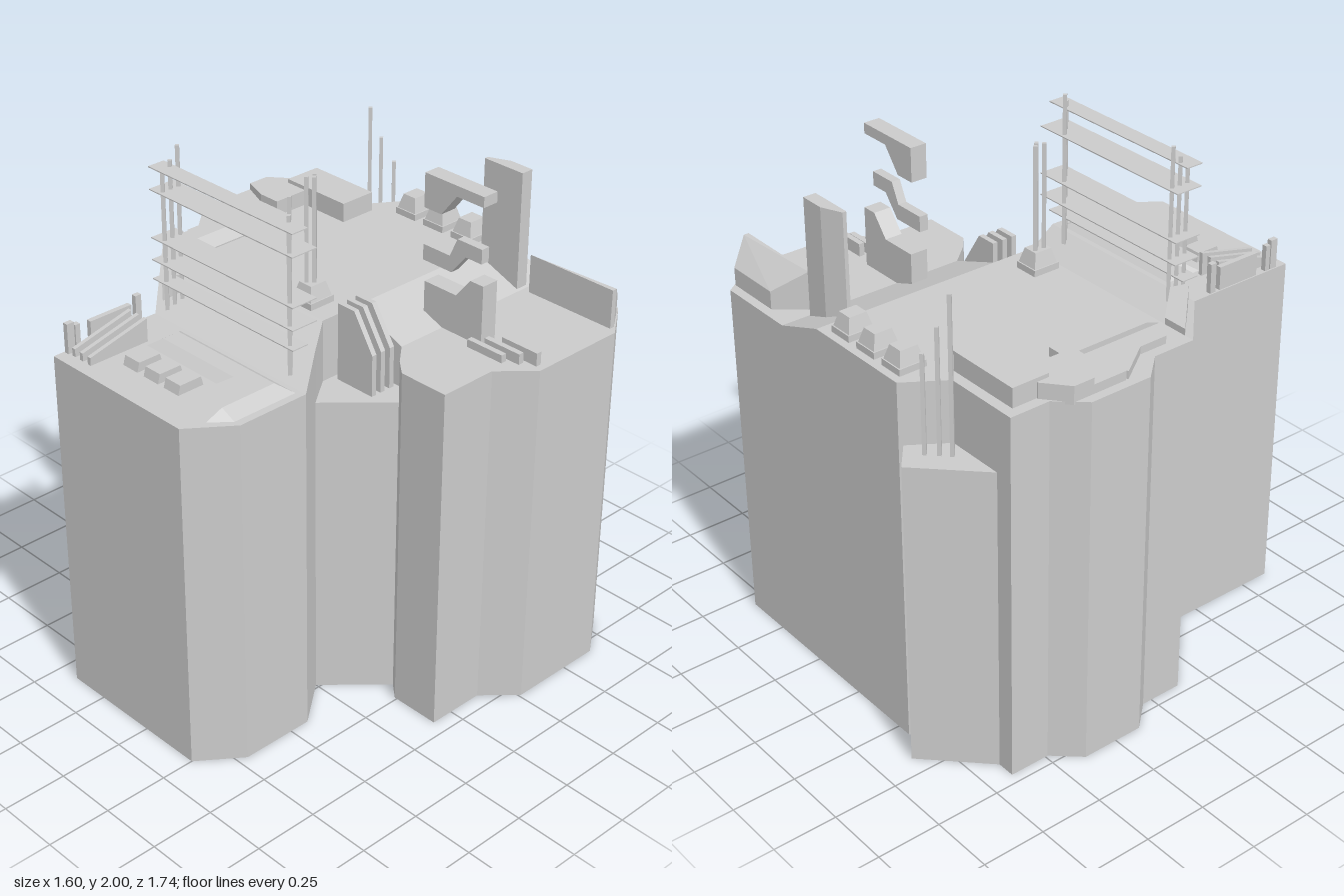
import * as THREE from 'three';
import { ConvexGeometry } from 'three/addons/geometries/ConvexGeometry.js';

const mat = new THREE.MeshStandardMaterial({ color: 0xcccccc, flatShading: true, side: THREE.DoubleSide });

export function createModel() {
  const root = new THREE.Group();
  const add = (name, geo) => {
    const m = new THREE.Mesh(geo, mat);
    m.name = name;
    root.add(m);
    return m;
  };
  const faces = (tris) => {
    const g = new THREE.BufferGeometry();
    g.setAttribute('position', new THREE.Float32BufferAttribute(tris.flat(), 3));
    g.computeVertexNormals();
    return g;
  };
  // Roof face from plan points [x, z, y], counter-clockwise seen from above
  const roof = (name, pts) => {
    const plan = pts.map(([x, z]) => new THREE.Vector2(x, -z));
    const idx = THREE.ShapeUtils.triangulateShape(plan, []).flat();
    add(name, faces(idx.map((i) => [pts[i][0], pts[i][2], pts[i][1]])));
  };
  // Vertical wall strip along points [x, z, top] down to y = base
  const walls = (name, pts, base, closed = true) => {
    const tris = [];
    for (let i = 0; i < pts.length - (closed ? 0 : 1); i++) {
      const [ax, az, ay] = pts[i], [bx, bz, by] = pts[(i + 1) % pts.length];
      const a0 = [ax, base, az], b0 = [bx, base, bz], a1 = [ax, ay, az], b1 = [bx, by, bz];
      tris.push(a0, b0, b1, a0, b1, a1);
    }
    add(name, faces(tris));
  };
  const box = (name, x0, x1, y0, y1, z0, z1) =>
    add(name, new THREE.BoxGeometry(x1 - x0, y1 - y0, z1 - z0)
      .translate((x0 + x1) / 2, (y0 + y1) / 2, (z0 + z1) / 2));
  const shape = (pts) => new THREE.Shape(pts.map(([a, b]) => new THREE.Vector2(a, b)));
  // Plan polygon [x, z] raised from y0 to y1
  const prism = (name, pts, y0, y1) =>
    add(name, new THREE.ExtrudeGeometry(shape(pts.map(([x, z]) => [x, -z])), { depth: y1 - y0, bevelEnabled: false })
      .rotateX(-Math.PI / 2).translate(0, y0, 0));
  // Front profile [x, y] extruded from z0 to z1
  const slab = (name, pts, z0, z1) =>
    add(name, new THREE.ExtrudeGeometry(shape(pts), { depth: z1 - z0, bevelEnabled: false }).translate(0, 0, z0));
  const hull = (name, pts) => add(name, new ConvexGeometry(pts.map((p) => new THREE.Vector3(...p))));
  // Tapered block: base rectangle and top rectangle as [x0, x1, z0, z1]
  const taper = (name, b, y0, t, y1) => {
    const ring = ([x0, x1, z0, z1], y) => [[x0, y, z0], [x1, y, z0], [x1, y, z1], [x0, y, z1]];
    return hull(name, [...ring(b, y0), ...ring(t, y1)]);
  };
  const post = (name, x, z, y0, y1, r = 0.01) =>
    add(name, new THREE.CylinderGeometry(r, r, y1 - y0, 4).translate(x, (y0 + y1) / 2, z));

  // Building shell, open below
  const H = 1.46, L = 1.38, S = 1.22;
  const frontEdge = [[-0.41, 0.87, L], [0.25, 0.87, L], [0.37, 0.71, L], [0.37, 0.42, L], [0.235, 0.25, 1.427]];
  const eastEdge = [[0.43, 0.04, L], [0.49, 0.09, L], [0.69, 0.09, L], [0.69, -0.14, L], [0.8, -0.26, L],
    [0.8, -0.65, L], [0.69, -0.8, L], [0.36, -0.8, L]];
  const westEdge = [[0.145, -0.8, H], [-0.31, -0.8, H], [-0.41, -0.65, H], [-0.71, -0.65, H], [-0.71, -0.49, H],
    [-0.8, -0.39, H], [-0.8, -0.14, H], [-0.71, -0.04, H], [-0.71, 0.13, H]];
  const west = [[-0.41, 0.42, L]];
  walls('outerWallFront', [...westEdge.slice(-1), ...west, ...frontEdge], 0, false);
  walls('outerWallBack', [...eastEdge, ...westEdge], 0, false);
  walls('ledgeOuterWall', [[0.235, 0.25, S], [0.43, 0.04, S]], 0, false);
  walls('ledgeInnerWall', [[0.235, 0.25, 1.427], [0.145, 0.13, H], [0.145, -0.04, H], [0.36, -0.04, L], [0.43, 0.04, L]], S, false);
  roof('ledgeFloor', [[0.145, 0.13, S], [0.235, 0.25, S], [0.43, 0.04, S], [0.36, -0.04, S], [0.145, -0.04, S]]);
  roof('frontRoof', [...frontEdge.slice(0, 4), ...west]);
  roof('frontSlope', [[-0.71, 0.13, H], ...west, [0.37, 0.42, L], [0.235, 0.25, 1.427], [0.145, 0.13, H]]);
  roof('mainRoof', [...westEdge, [0.145, 0.13, H]]);
  roof('sideSlope', [[0.145, -0.04, H], [0.36, -0.04, L], [0.36, -0.8, L], [0.145, -0.8, H]]);
  roof('eastRoof', [[0.36, -0.04, L], ...eastEdge]);

  // Rear corner tower with aerials
  const tower = [[-0.31, -0.78, S], [-0.42, -0.87, S], [-0.64, -0.65, S], [-0.41, -0.65, S]];
  walls('rearTowerWall', tower, 0);
  roof('rearTowerRoof', tower);
  [[-0.47, -0.7, 1.82], [-0.44, -0.73, 1.7], [-0.405, -0.765, 1.6]].forEach(([x, z, y]) => post('rearAerial', x, z, S, y));

  // Rack of flat planks on two rows of posts
  [[0.31, 2, 0.175], [0.345, 1.955, 0.21], [0.38, 1.93, 0.25]].forEach(([z, y, x]) => {
    post('rackPostLeft', x, z, L, y);
    post('rackPostRight', -0.39, z, L, y);
  });
  [[1.93, 0.33], [1.845, 0.29], [1.66, 0.29], [1.575, 0.29], [1.5, 0.33]].forEach(([y, z]) =>
    box('rackPlank', -0.44, 0.285, y - 0.002, y + 0.002, z, 0.4));

  // Roof vents, one carrying a mast cluster
  const vent = (x, z) => {
    box('ventBase', x - 0.05, x + 0.05, H - 0.01, 1.485, z - 0.055, z + 0.055);
    taper('ventCap', [x - 0.045, x + 0.045, z - 0.05, z + 0.05], 1.485, [x - 0.03, x + 0.03, z - 0.035, z + 0.035], 1.54);
  };
  [-0.237, -0.095, 0.048].forEach((x) => vent(x, -0.715));
  vent(0.016, 0.057);
  [[0.006, 0.037], [0.025, 0.057], [0.006, 0.076]].forEach(([x, z]) => post('mast', x, z, 1.53, 1.94));

  // Sloped fins standing on the ledge
  [-0.013, 0.03, 0.072].forEach((z) =>
    slab('ledgeFin', [[0.17, S], [0.34, S], [0.34, 1.38], [0.25, 1.52], [0.17, 1.52]], z - 0.01, z + 0.01));

  // Bracket-shaped sign pieces
  slab('upperBracket', [[0.26, 1.81], [0.34, 1.81], [0.41, 1.9], [0.533, 1.9], [0.533, 1.94], [0.26, 1.94]], -0.305, -0.24);
  slab('middleBracket', [[0.26, 1.61], [0.395, 1.61], [0.46, 1.69], [0.533, 1.69], [0.533, 1.745], [0.42, 1.745],
    [0.385, 1.67], [0.26, 1.67]], -0.275, -0.24);
  slab('lowerBracket', [[0.27, L], [0.545, L], [0.545, 1.61], [0.485, 1.61], [0.42, 1.53], [0.27, 1.53]], -0.31, -0.24);

  // Rear slab and wedge-shaped housing
  prism('rearSlab', [[0.17, -0.64], [0.35, -0.64], [0.35, -0.69], [0.25, -0.69], [0.17, -0.655]], L, 1.84);
  hull('rearHousing', [[0.39, L, -0.66], [0.77, L, -0.66], [0.39, 1.53, -0.66], [0.77, 1.53, -0.66], [0.77, L, -0.68],
    [0.77, 1.53, -0.68], [0.48, L, -0.765], [0.71, L, -0.765], [0.48, 1.45, -0.765], [0.71, 1.45, -0.765]]);

  // Low stepped strips on the east roof
  for (let i = 0; i < 3; i++) {
    const x = 0.515 + i * 0.048, z = -0.215 - i * 0.035;
    box('roofStrip', x, x + 0.16, L, 1.41 + i * 0.01, z - 0.01, z + 0.012);
  }

  // West parapet blocks
  box('parapetBox', -0.67, -0.365, 1.45, 1.535, -0.61, -0.46);
  prism('parapetRear', [[-0.765, -0.35], [-0.665, -0.315], [-0.575, -0.315], [-0.575, -0.51], [-0.675, -0.51], [-0.765, -0.435]], 1.45, 1.52);
  prism('parapetSpur', [[-0.765, -0.215], [-0.67, -0.25], [-0.49, -0.25], [-0.49, -0.31], [-0.665, -0.31], [-0.765, -0.35]], 1.45, 1.495);
  prism('parapetFront', [[-0.765, -0.205], [-0.67, -0.07], [-0.67, 0.045], [-0.625, 0.085], [-0.59, 0.085], [-0.59, -0.25], [-0.67, -0.25]], 1.45, 1.49);
  slab('parapetRamp', [[-0.59, 1.45], [-0.53, 1.45], [-0.53, 1.465], [-0.59, 1.49]], -0.25, 0.085);
  prism('slopeParapet', [[-0.67, 0.13], [-0.44, 0.36], [-0.42, 0.29], [-0.57, 0.13]], 1.39, 1.485);

  // Low bevelled L-shaped ridge on the front roof
  taper('ridgeBar', [-0.25, 0.34, 0.44, 0.59], L, [-0.21, 0.28, 0.48, 0.55], 1.408);
  hull('ridgeArm', [[0.145, L, 0.44], [0.3, L, 0.44], [0.34, L, 0.48], [0.34, L, 0.71], [0.28, L, 0.78], [0.11, L, 0.78],
    [0.16, 1.408, 0.48], [0.28, 1.408, 0.48], [0.28, 1.408, 0.71], [0.145, 1.408, 0.71]]);

  // Front hatches and thin louvres
  [-0.2, -0.092, 0.013].forEach((x) =>
    taper('hatch', [x, x + 0.075, 0.625, 0.735], L, [x, x + 0.075, 0.635, 0.725], 1.415));
  [-0.362, -0.32, -0.278].forEach((x) => hull('louvre', [-0.008, 0.008].flatMap((d) =>
    [[x + d, L, 0.57], [x + d, L, 0.82], [x + d, 1.41, 0.82], [x + d, 1.47, 0.57]])));
  [[0.5, 0.525, 1.495], [0.545, 0.725, 1.47], [0.77, 0.79, 1.48], [0.795, 0.825, 1.495]].forEach(([z0, z1, y]) =>
    box('edgeLouvre', -0.405, -0.385, L, y, z0, z1));

  return root;
}
